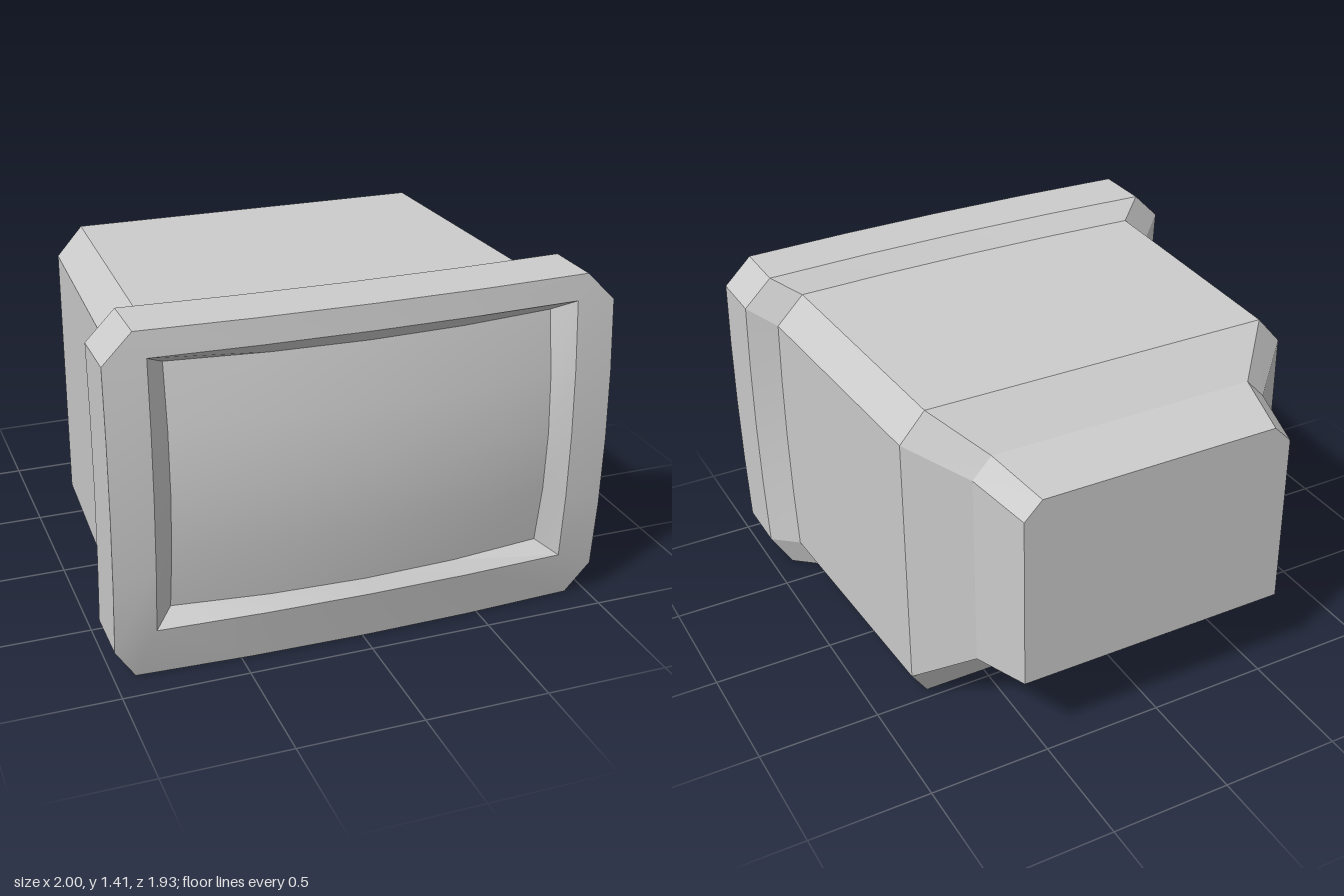
import * as THREE from 'three';
import { toCreasedNormals } from 'three/addons/utils/BufferGeometryUtils.js';

const N = 4;          // segments along each bowed edge
const MID = 0.7625;   // height of the screen centre

// Bowed depth of the bezel and convex depth of the screen glass
const bow = (x, y) => 0.035 * (1 - x * x) + 0.04 * (1 - ((y - MID) / 0.64) ** 2);
const glass = (x, y) => 0.965 - 0.06 * (x / 0.765) ** 2 - 0.055 * ((y - MID) / 0.4975) ** 2;

// Chamfered cross-section, counter-clockwise from the lower right.
// w/cx: half width and top half width; top/cy: top and upper chamfer height;
// bx/bot: bottom half width and height; by: lower chamfer height
function ring({ w, cx = w, top, cy = top, bx = w, bot, by = bot }, z, zBottom = z) {
  const edges = [
    [[w, by], [w, cy]], [[cx, top], [-cx, top]],
    [[-w, cy], [-w, by]], [[-bx, bot], [bx, bot]],
  ];
  const points = [];
  edges.forEach(([a, b], e) => {
    for (let i = 0; i <= N; i++) {
      const x = a[0] + (b[0] - a[0]) * i / N;
      const y = a[1] + (b[1] - a[1]) * i / N;
      points.push(new THREE.Vector3(x, y, (e === 3 ? zBottom : z)(x, y)));
    }
  });
  return points;
}

// Skin a list of rings, optionally closing the last one
function loft(name, rings, material, capped = false) {
  const pos = [];
  const tri = (a, b, c) => {
    const area = b.clone().sub(a).cross(c.clone().sub(a)).length();
    if (area > 1e-7) for (const p of [a, b, c]) pos.push(p.x, p.y, p.z);
  };
  for (let r = 0; r < rings.length - 1; r++) {
    const A = rings[r], B = rings[r + 1];
    A.forEach((a, i) => {
      const j = (i + 1) % A.length;
      tri(a, B[i], B[j]);
      tri(a, B[j], A[j]);
    });
  }
  if (capped) {
    const last = rings[rings.length - 1];
    const centre = last.reduce((s, p) => s.add(p), new THREE.Vector3()).divideScalar(last.length);
    last.forEach((p, i) => tri(centre, last[(i + 1) % last.length], p));
  }
  const geo = new THREE.BufferGeometry();
  geo.setAttribute('position', new THREE.Float32BufferAttribute(pos, 3));
  const mesh = new THREE.Mesh(toCreasedNormals(geo, 0.25), material);
  mesh.name = name;
  return mesh;
}

export function createModel() {
  const group = new THREE.Group();
  group.name = 'monitor';
  const material = new THREE.MeshStandardMaterial({ color: 0xcccccc });
  const flat = z => () => z;
  const bowed = z => (x, y) => z + bow(x, y);

  // Cross-section outlines
  const screenEdge = { w: 0.765, top: 1.26, bot: 0.265 };
  const opening = { w: 0.84, top: 1.31, bot: 0.215 };
  const flange = { w: 1, cx: 0.885, top: 1.41, cy: 1.295, bx: 0.915, by: 0.14, bot: 0 };
  const bodyFront = { w: 0.895, cx: 0.78, top: 1.345, cy: 1.225, bx: 0.81, by: 0.14, bot: 0 };
  const bodyBack = { w: 0.845, cx: 0.74, top: 1.345, cy: 1.225, bx: 0.76, by: 0.14, bot: 0 };
  const shoulder = { w: 0.845, cx: 0.74, top: 1.345, cy: 1.225, bot: 0.14 };
  const neckFront = { w: 0.645, cx: 0.565, top: 1.2, cy: 1.115, bot: 0.285 };
  const neckBack = { w: 0.58, cx: 0.505, top: 1.15, cy: 1.075, bot: 0.335 };

  // Bezel: recess wall, front frame, outer rim and rear chamfer
  const bezelEnd = ring(bodyFront, bowed(0.565));
  group.add(loft('bezel', [
    ring(screenEdge, glass),
    ring(opening, bowed(0.903)),
    ring(flange, bowed(0.903), bowed(0.88)),
    ring(flange, bowed(0.66)),
    bezelEnd,
  ], material));

  // Main housing, with its sloped lower back edge
  const shoulderRing = ring(shoulder, flat(-0.505));
  group.add(loft('housing', [
    bezelEnd,
    ring(bodyBack, flat(-0.505), flat(-0.455)),
    shoulderRing,
  ], material));

  // Rear housing around the tube neck
  group.add(loft('rearHousing', [
    shoulderRing,
    ring(neckFront, flat(-0.69)),
    ring(neckBack, flat(-0.965)),
  ], material, true));

  // Convex screen glass
  const screenGeo = new THREE.PlaneGeometry(1.53, 0.995, N, N).translate(0, MID, 0);
  const p = screenGeo.attributes.position;
  for (let i = 0; i < p.count; i++) p.setZ(i, glass(p.getX(i), p.getY(i)));
  screenGeo.computeVertexNormals();
  const screen = new THREE.Mesh(screenGeo, material);
  screen.name = 'screen';
  group.add(screen);

  return group;
}
